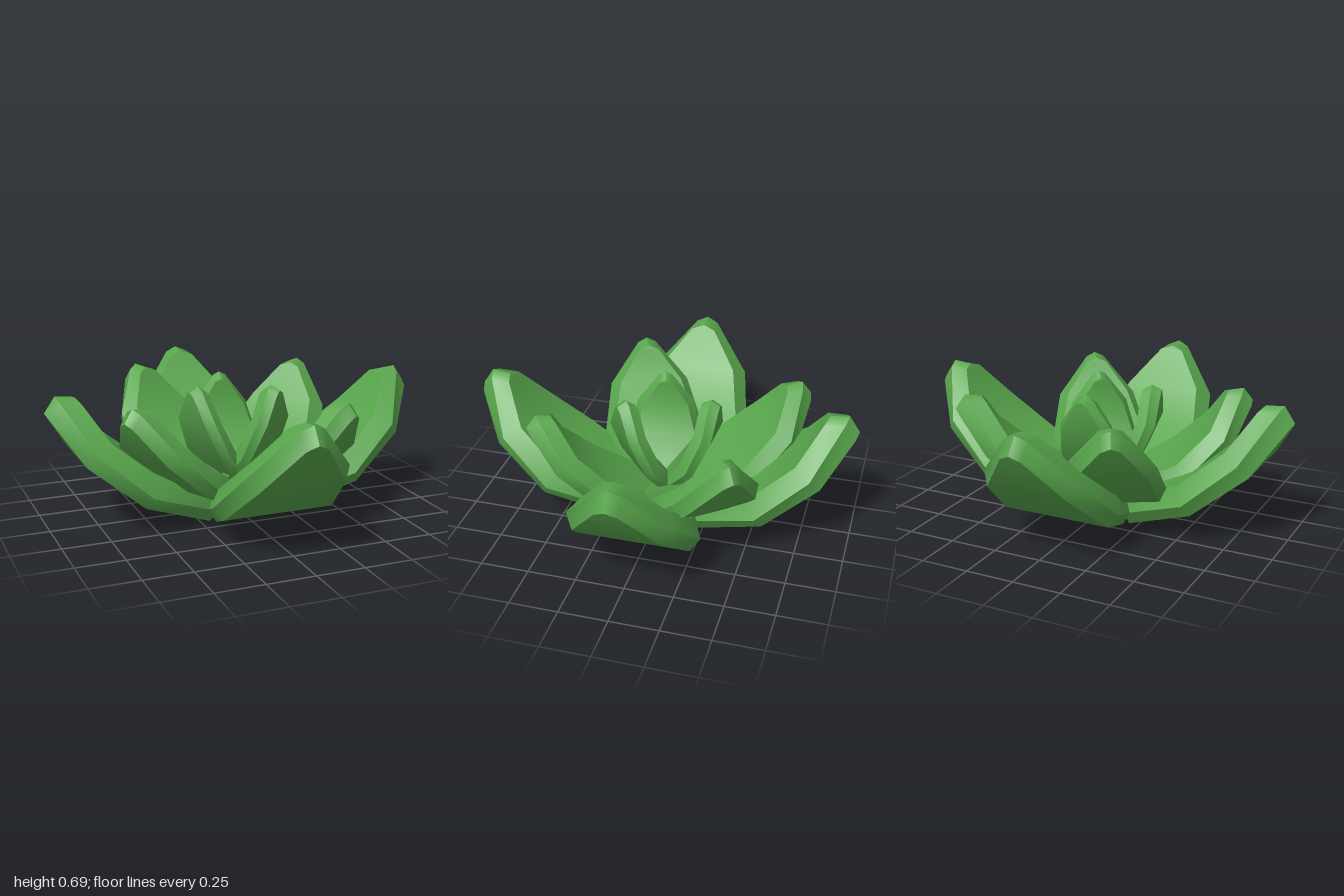
import * as THREE from 'three';
import { mergeGeometries } from 'three/addons/utils/BufferGeometryUtils.js';

// Petal layers from base to tip: [distance outwards, height, half width]
const UNDERSIDE = [[0.15, 0, 0.1], [0.21, 0.01, 0.185], [0.58, 0.16, 0.285], [0.85, 0.38, 0.215], [0.985, 0.59, 0.055], [1.0, 0.615, 0]];
const RIM = [[0.1, 0.05, 0.1], [0.2, 0.08, 0.225], [0.55, 0.22, 0.33], [0.8, 0.44, 0.26], [0.93, 0.67, 0.06], [0.945, 0.695, 0]];
const UPPERSIDE = [[0.09, 0.13, 0.08], [0.2, 0.17, 0.19], [0.5, 0.3, 0.275], [0.72, 0.485, 0.205], [0.83, 0.665, 0.065], [0.85, 0.685, 0]];

// Closed outline of a layer, counterclockwise from above
function outline(layer) {
  const left = layer.map(([x, y, w]) => [x, y, w]);
  const right = layer.map(([x, y, w]) => [x, y, -w]).reverse();
  return [...left, ...right];
}

function surface(points, index) {
  const geo = new THREE.BufferGeometry();
  geo.setAttribute('position', new THREE.Float32BufferAttribute(points.flat(), 3));
  geo.setIndex(index);
  geo.computeVertexNormals();
  return geo;
}

// Bevelled side between two outlines
function band(lower, upper) {
  const n = lower.length, index = [];
  for (let i = 0; i < n; i++) {
    const j = (i + 1) % n;
    index.push(i, j, n + j, i, n + j, n + i);
  }
  return surface([...lower, ...upper], index);
}

// Smooth face across an outline
function face(loop, flip) {
  const n = loop.length, index = [];
  for (let i = 0; i < n / 2 - 1; i++) {
    const a = i, b = i + 1, c = n - 2 - i, d = n - 1 - i;
    if (flip) index.push(a, c, b, a, d, c);
    else index.push(a, b, c, a, c, d);
  }
  return surface(loop, index);
}

function petalGeometry() {
  const under = outline(UNDERSIDE), rim = outline(RIM), upper = outline(UPPERSIDE);
  return mergeGeometries([face(under, true), band(under, rim), band(rim, upper), face(upper, false)]);
}

export function createModel() {
  const model = new THREE.Group();
  model.name = 'succulent';
  const green = new THREE.MeshStandardMaterial({ color: 0x58a54c });
  green.name = 'leafGreen';
  const geometry = petalGeometry();

  // angle and tilt in degrees, then size and shift of the petal
  function addPetal(name, angle, tilt, size, dx, dy) {
    const arm = new THREE.Group();
    arm.name = name;
    arm.rotation.y = THREE.MathUtils.degToRad(angle);
    const petal = new THREE.Mesh(geometry, green);
    petal.name = name + 'Blade';
    petal.rotation.z = THREE.MathUtils.degToRad(tilt);
    petal.scale.setScalar(size);
    petal.position.set(dx, dy, 0);
    arm.add(petal);
    model.add(arm);
  }

  // Outer ring
  for (let i = 0; i < 4; i++) addPetal('outerPetal' + (i + 1), i * 90, 0, 1, 0, 0);

  // Middle ring, shrinking as it spirals round
  [
    [39, 1, 0.87, -0.07, 0.055],
    [117, 2, 0.86, -0.055, 0.05],
    [204, 3.5, 0.83, -0.05, 0.045],
    [303, 5, 0.81, -0.04, 0.045],
  ].forEach((p, i) => addPetal('middlePetal' + (i + 1), ...p));

  // Upright heart, its upper faces meeting on the axis
  [
    [88, 27, 0.58, -0.06, 0.08],
    [194, 28, 0.58, -0.065, 0.08],
    [310, 29, 0.58, -0.07, 0.075],
  ].forEach((p, i) => addPetal('innerPetal' + (i + 1), ...p));

  return model;
}
